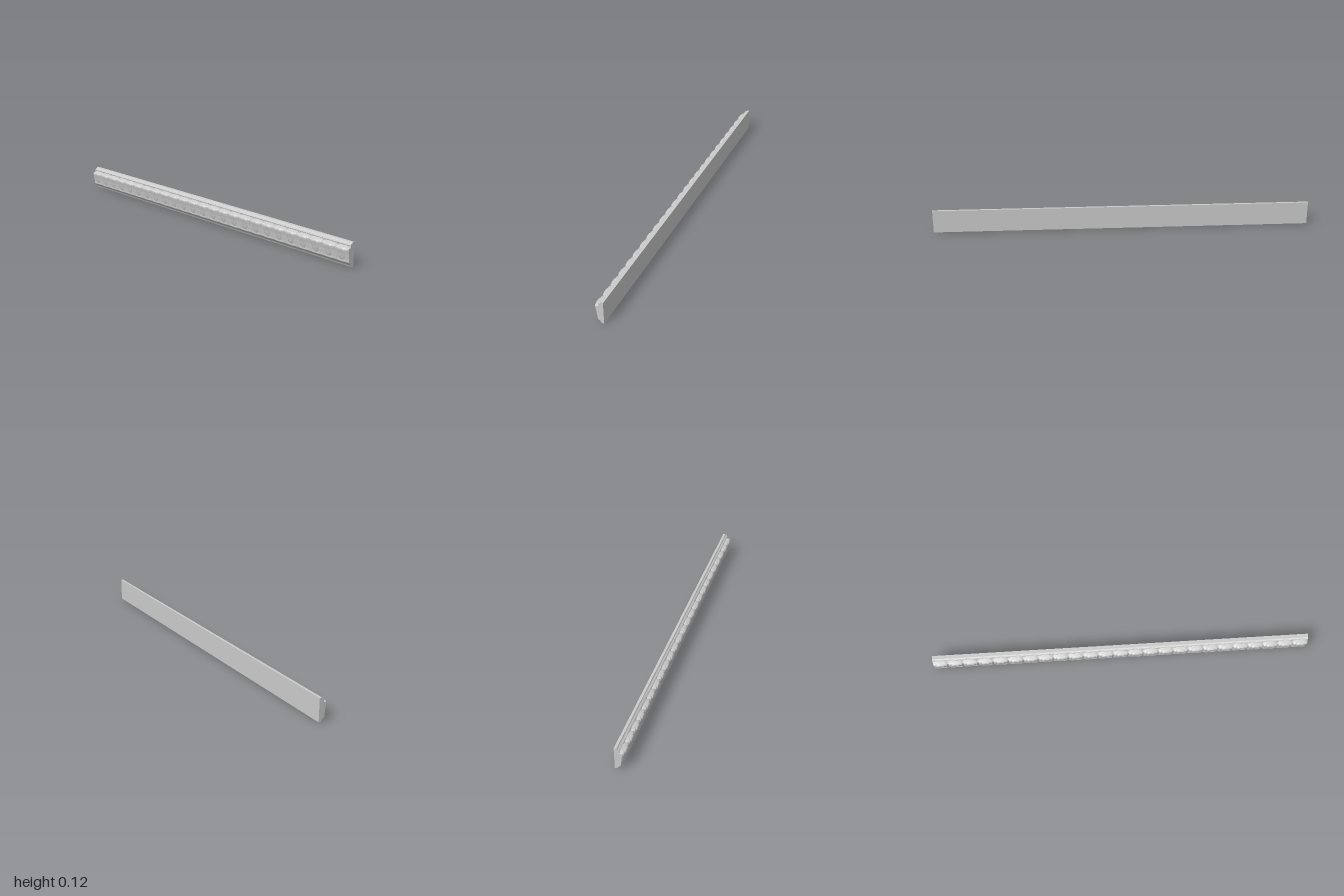
import * as THREE from 'three';

const LENGTH = 2;
const PITCH = 0.08; // width of one carved leaf

// Plain moulding: flat back, coved top and bottom edges
function makeBacking(material) {
  const s = new THREE.Shape();
  s.moveTo(-0.025, 0);
  s.lineTo(-0.013, 0);
  s.quadraticCurveTo(-0.009, 0.011, 0, 0.016);
  s.lineTo(0, 0.108);
  s.lineTo(-0.002, 0.112);
  s.quadraticCurveTo(-0.009, 0.114, -0.012, 0.121);
  s.lineTo(-0.025, 0.121);
  s.closePath();
  const geo = new THREE.ExtrudeGeometry(s, { depth: LENGTH, bevelEnabled: false, curveSegments: 6 });
  geo.translate(0, 0, -LENGTH / 2);
  geo.rotateY(-Math.PI / 2); // shape x -> +z, extrusion -> x
  const pos = geo.attributes.position;
  // make sure the carved side looks to +z, keeping the winding
  geo.computeBoundingBox();
  if (geo.boundingBox.max.z > 0.01) geo.rotateY(Math.PI);
  pos.needsUpdate = true;
  const mesh = new THREE.Mesh(geo, material);
  mesh.name = 'backing';
  return mesh;
}

const gauss = (d, w) => Math.exp(-(d * d) / (w * w));

// Relative height of the carving; u runs -1..1 across a leaf, v 0..1 from bottom to top
function carve(u, v) {
  const a = Math.abs(u);
  let h = 0.68 + 0.32 * Math.sqrt(Math.max(0, 1 - a ** 2.6)); // rounded leaf
  const r = Math.hypot(u / 0.62, (v - 0.55) / 0.36);
  h -= 0.16 * gauss(r - 1, 0.16); // looped groove inside each leaf
  if (v < 0.75) h -= 0.12 * gauss(u, 0.1) * Math.sin((v / 0.75) * Math.PI); // midrib
  h -= 0.2 * gauss(a - 1, 0.15) * Math.sin(v * Math.PI); // gap between leaves
  return h;
}

// Running band of leaves: a box whose front follows the leaf profile
function makeLeaves(material) {
  const profile = new THREE.SplineCurve([
    [0.0, 0.016], [0.012, 0.025], [0.014, 0.036], [0.018, 0.052], [0.021, 0.067],
    [0.026, 0.086], [0.022, 0.095], [0.014, 0.099], [0.0, 0.102],
  ].map(([z, y]) => new THREE.Vector2(z, y)));
  const geo = new THREE.BoxGeometry(LENGTH, 1, 1, 500, 28, 1);
  const pos = geo.attributes.position;
  const p = new THREE.Vector2();
  for (let i = 0; i < pos.count; i++) {
    const x = pos.getX(i);
    const v = pos.getY(i) + 0.5;
    profile.getPoint(v, p);
    const cell = (x + LENGTH / 2) / PITCH;
    const u = 2 * (cell - Math.floor(cell + 1e-6)) - 1;
    // leaf tips dip between leaves, giving a scalloped upper edge
    const dip = 0.006 * Math.abs(u) ** 3 * v * v;
    const front = pos.getZ(i) > 0;
    pos.setXYZ(i, x, p.y - dip, front ? Math.max(0, p.x * carve(u, v)) : -0.004);
  }
  geo.computeVertexNormals();
  const mesh = new THREE.Mesh(geo, material);
  mesh.name = 'carvedLeaves';
  return mesh;
}

// Thin bead under the upper cove
function makeBead(material) {
  const geo = new THREE.CylinderGeometry(0.003, 0.003, LENGTH, 10);
  geo.rotateZ(Math.PI / 2);
  geo.translate(0, 0.107, -0.001);
  const mesh = new THREE.Mesh(geo, material);
  mesh.name = 'upperBead';
  return mesh;
}

export function createModel() {
  const material = new THREE.MeshStandardMaterial({ color: 0xcccccc });
  const group = new THREE.Group();
  group.name = 'carvedMoulding';
  group.add(makeBacking(material), makeLeaves(material), makeBead(material));
  return group;
}
